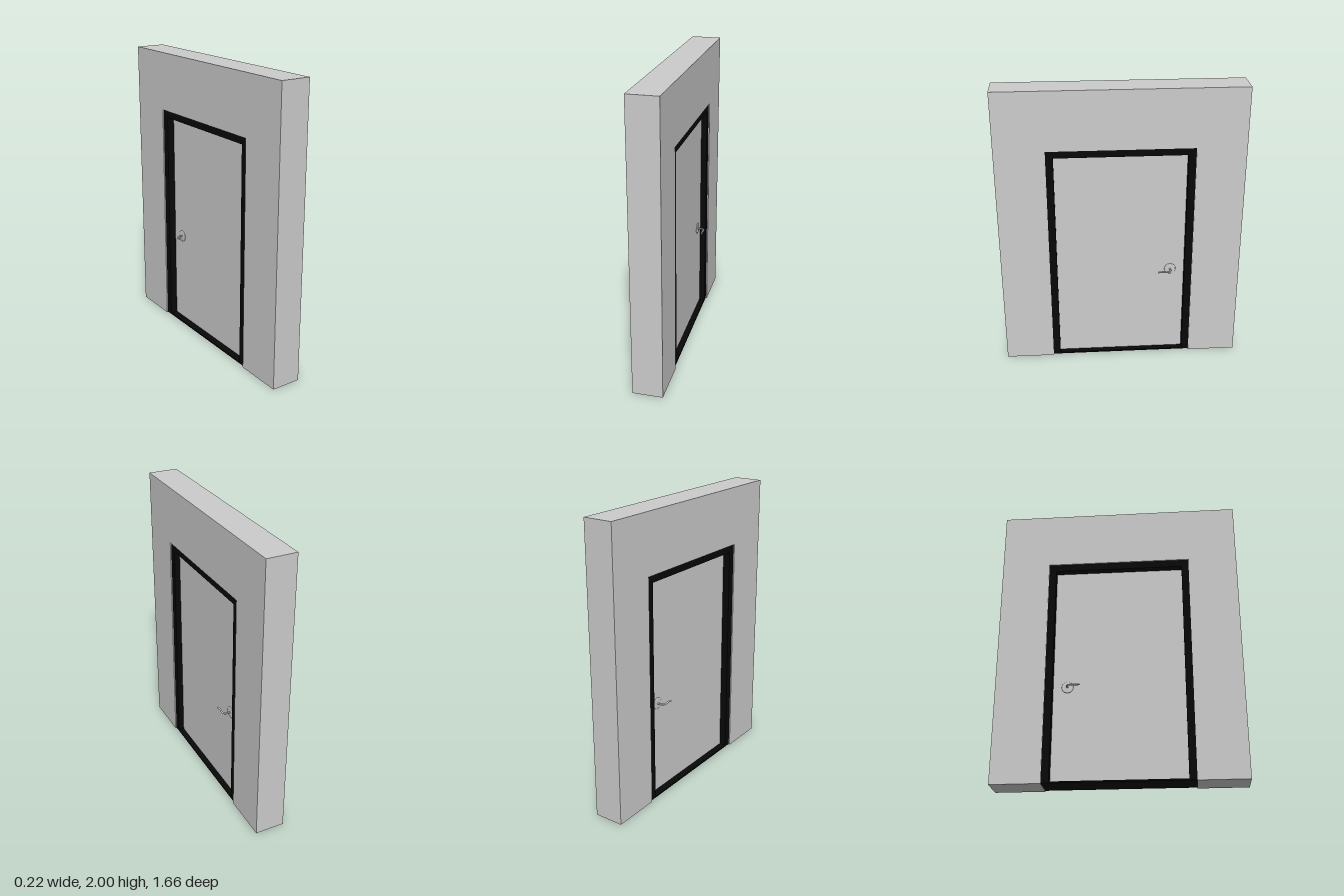
import * as THREE from 'three';

const grey = new THREE.MeshStandardMaterial({ color: 0xcccccc });
const black = new THREE.MeshStandardMaterial({ color: 0x080808 });

function add(parent, name, geometry, material = grey) {
  const mesh = new THREE.Mesh(geometry, material);
  mesh.name = name;
  parent.add(mesh);
  return mesh;
}

// Extrudes a [z, y] outline through the wall, from x0 to x1
function slab(points, x0, x1, hole) {
  const toVectors = (list) => list.map(([z, y]) => new THREE.Vector2(z, y));
  const shape = new THREE.Shape(toVectors(points));
  if (hole) shape.holes.push(new THREE.Path(toVectors(hole)));
  return new THREE.ExtrudeGeometry(shape, { depth: x1 - x0, bevelEnabled: false })
    .rotateY(-Math.PI / 2)
    .translate(x1, 0, 0);
}

const rect = (halfZ, y0, y1) => [[-halfZ, y0], [halfZ, y0], [halfZ, y1], [-halfZ, y1]];

// Lever handle on the +x face of the door
function createHandle(faceX) {
  const handle = new THREE.Group();
  const y = 0.67, z = -0.348;

  // Round rose with a softened rim
  const profile = [[0, 0.005], [0.035, 0.005], [0.039, 0.003], [0.04, 0]]
    .map(([r, h]) => new THREE.Vector2(r, h)).reverse();
  const rose = add(handle, 'handleRose', new THREE.LatheGeometry(profile, 40));
  rose.rotation.z = -Math.PI / 2;
  rose.position.set(faceX, y, z);

  // Neck and gently waved lever in a single sweep
  const path = new THREE.CatmullRomCurve3([
    [faceX, z], [0.085, z], [0.098, -0.338], [0.101, -0.32], [0.098, -0.29], [0.102, -0.264],
  ].map(([px, pz]) => new THREE.Vector3(px, y, pz)));
  add(handle, 'lever', new THREE.TubeGeometry(path, 40, 0.006, 14, false));
  const tip = add(handle, 'leverTip', new THREE.SphereGeometry(0.006, 14, 10));
  tip.position.copy(path.getPoint(1));
  return handle;
}

export function createModel() {
  const model = new THREE.Group();
  model.name = 'doorInWall';

  // Wall with a doorway open at the floor
  add(model, 'wall', slab([
    [-0.83, 0], [-0.495, 0], [-0.495, 1.595], [0.495, 1.595],
    [0.495, 0], [0.83, 0], [0.83, 2], [-0.83, 2],
  ], -0.108, 0.098));

  // Dark frame with threshold, set just inside the wall faces
  add(model, 'doorFrame',
    slab(rect(0.495, 0.004, 1.595), -0.1, 0.09, rect(0.445, 0.014, 1.545)), black);

  // Door leaf
  const door = add(model, 'doorLeaf', new THREE.BoxGeometry(0.1, 1.531, 0.89));
  door.position.set(0, 0.7795, 0);

  // One handle on each side; a half turn about z, at handle height, mirrors it
  const handle = createHandle(0.05);
  handle.name = 'handleRight';
  const backHandle = createHandle(0.05);
  backHandle.name = 'handleLeft';
  backHandle.rotation.z = Math.PI;
  backHandle.position.y = 2 * 0.67;
  model.add(handle, backHandle);

  return model;
}
